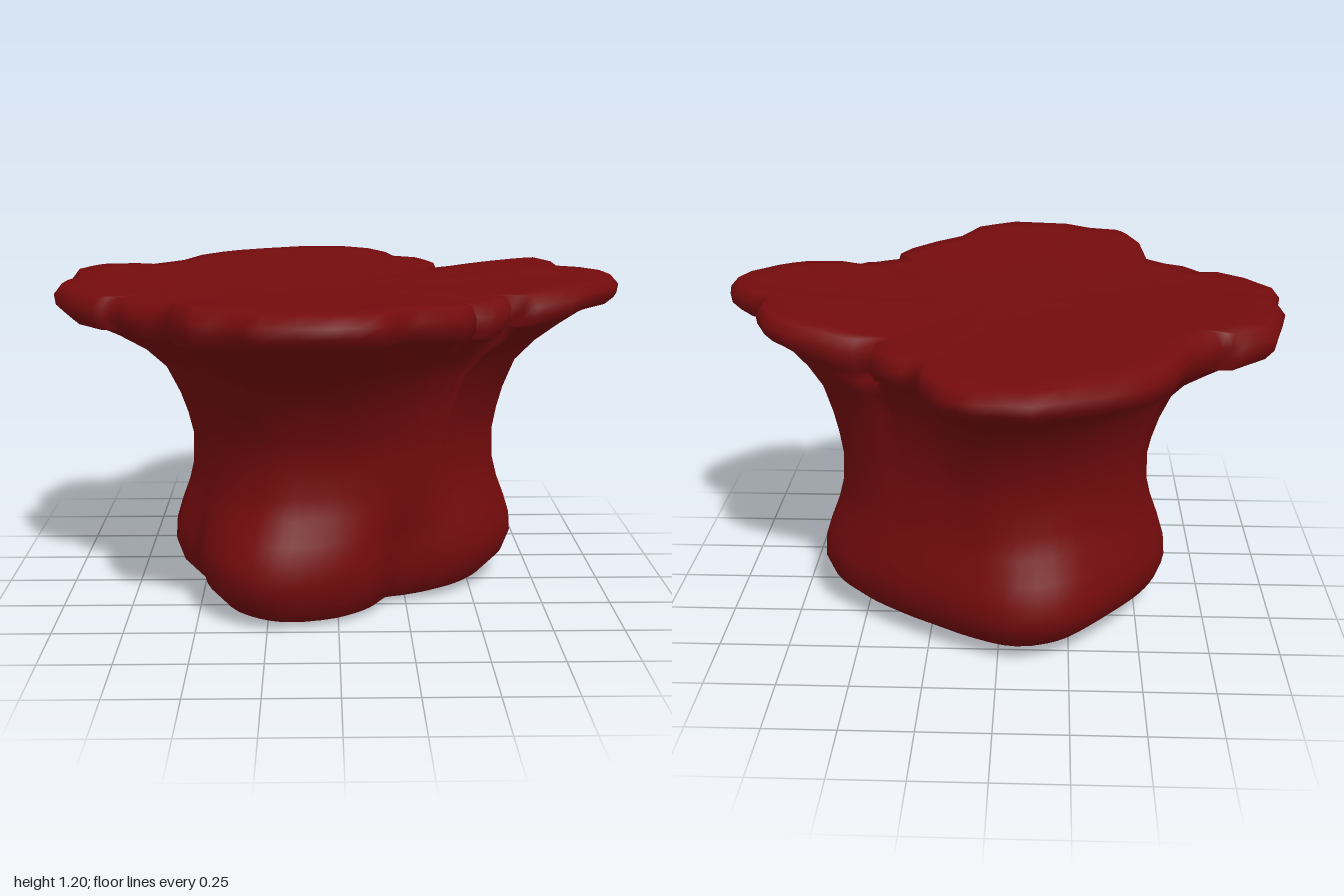
import * as THREE from 'three';

// Plan outlines as x,z pairs, running from the back round by the left side to the front.
const RIM = [
  -0.12, -0.99, 0.05, -0.98, 0.15, -0.93, 0.22, -0.82, 0.25, -0.7, 0.34, -0.67, 0.41, -0.56, 0.41, -0.47,
  0.54, -0.47, 0.7, -0.42, 0.79, -0.36, 0.84, -0.24, 0.84, -0.12, 0.92, -0.08, 0.98, 0, 1, 0.1,
  0.97, 0.19, 0.88, 0.29, 0.79, 0.38, 0.66, 0.43, 0.58, 0.4, 0.56, 0.45, 0.49, 0.51, 0.41, 0.52,
  0.44, 0.58, 0.4, 0.64, 0.3, 0.72, 0.2, 0.78, 0.13, 0.92, -0.02, 0.98, -0.24, 0.95, -0.34, 0.88,
  -0.45, 0.85, -0.49, 0.8, -0.54, 0.7, -0.56, 0.53, -0.7, 0.45, -0.76, 0.36, -0.83, 0.36, -0.92, 0.28,
  -1, 0.12, -0.99, 0.06, -0.95, -0.02, -0.98, -0.14, -0.92, -0.35, -0.8, -0.42, -0.73, -0.41, -0.62, -0.53,
  -0.56, -0.69, -0.48, -0.79, -0.41, -0.85, -0.3, -0.91,
];
const FOOT = [
  -0.08, -0.65, 0.1, -0.59, 0.26, -0.5, 0.42, -0.4, 0.6, -0.25, 0.67, -0.1, 0.61, 0.07, 0.48, 0.2,
  0.33, 0.26, 0.22, 0.29, 0.12, 0.42, -0.05, 0.52, -0.24, 0.55, -0.4, 0.47, -0.48, 0.34, -0.51, 0.2,
  -0.59, 0.08, -0.61, -0.1, -0.55, -0.26, -0.4, -0.46, -0.24, -0.61,
];
const WAIST = [
  0, -0.55, 0.15, -0.49, 0.3, -0.42, 0.46, -0.32, 0.56, -0.18, 0.58, -0.03, 0.49, 0.12, 0.4, 0.21,
  0.29, 0.3, 0.15, 0.38, 0, 0.43, -0.2, 0.445, -0.33, 0.37, -0.42, 0.26, -0.5, 0.12, -0.53, -0.03,
  -0.5, -0.2, -0.4, -0.36, -0.2, -0.51,
];
// Lip heights round the rim: degrees from the left side towards the front, underside, top
const LIP = [
  [-185, 1.07, 1.175], [-170, 1.08, 1.185], [-150, 1.03, 1.165], [-120, 1.05, 1.165], [-90, 1.07, 1.165],
  [-60, 1.05, 1.155], [-48, 1.02, 1.14], [-25, 1.1, 1.195], [0, 1.1, 1.195], [20, 1.1, 1.19], [45, 1.03, 1.15],
  [60, 1.06, 1.17], [90, 1.1, 1.2], [120, 1.07, 1.2], [140, 1.03, 1.155], [165, 1.05, 1.16], [185, 1.08, 1.18],
];

const { lerp } = THREE.MathUtils;
const toPoints = (a) => Array.from({ length: a.length / 2 }, (_, i) => new THREE.Vector2(a[2 * i], a[2 * i + 1]));

// Rounded closed outline through the given points
function rounded(a) {
  const curve = new THREE.CatmullRomCurve3(toPoints(a).map((p) => new THREE.Vector3(p.x, 0, p.y)), true);
  return curve.getPoints(120).slice(0, -1).map((v) => new THREE.Vector2(v.x, v.z));
}

// Distance from the axis to a closed outline in direction t
function reach(outline, t) {
  const d = new THREE.Vector2(Math.cos(t), Math.sin(t));
  for (let i = 0; i < outline.length; i++) {
    const p = outline[i], q = outline[(i + 1) % outline.length];
    const a = d.cross(p), b = d.cross(q);
    if (a <= 0 && b > 0) {
      const r = p.clone().lerp(q, a / (a - b)).dot(d);
      if (r > 0) return r;
    }
  }
  return 0.6;
}

// Underside and top height of the lip in direction t
function lipHeights(t) {
  const deg = THREE.MathUtils.radToDeg(t);
  const k = LIP.findIndex((row) => row[0] > deg);
  const [a, b] = [LIP[k - 1], LIP[k]];
  const f = (deg - a[0]) / (b[0] - a[0]);
  return { under: lerp(a[1], b[1], f), top: lerp(a[2], b[2], f) };
}

// Skin a list of rings, bottom to top; each ring is a list of [x, y, z]
function loft(rings) {
  const n = rings[0].length, index = [];
  for (let j = 0; j < rings.length - 1; j++) {
    for (let i = 0; i < n; i++) {
      const k = (i + 1) % n, a = j * n + i, b = j * n + k, c = a + n, d = b + n;
      index.push(a, c, b, b, c, d);
    }
  }
  const g = new THREE.BufferGeometry();
  g.setAttribute('position', new THREE.Float32BufferAttribute(rings.flat(2), 3));
  g.setIndex(index);
  g.computeVertexNormals();
  return g;
}

export function createModel() {
  const group = new THREE.Group();
  const darkRed = new THREE.MeshStandardMaterial({ color: 0x740b0d });
  darkRed.name = 'dark red';

  const rim = toPoints(RIM), foot = rounded(FOOT), waist = rounded(WAIST);

  // One column for each rim corner and each edge midpoint
  const columns = rim.flatMap((p, i) => [p, p.clone().lerp(rim[(i + 1) % rim.length], 0.5)]).map((p) => {
    const t = Math.atan2(p.y, p.x);
    return { t, rim: p.length(), foot: reach(foot, t), waist: reach(waist, t), ...lipHeights(t) };
  });
  // Softened rim that guides the flare below the lip, kept inside the notches
  columns.forEach((c, i) => {
    let sum = 0;
    for (let k = -4; k <= 4; k++) sum += columns.at((i + k) % columns.length).rim;
    c.flare = Math.min(sum / 9, c.rim + 0.03);
  });

  const place = (c, r, y) => [r * Math.cos(c.t), y, r * Math.sin(c.t)];

  // Foot ring: height, scale; the underside tilts up slightly to the sides and back
  const footRing = ([y, s]) => columns.map((c) => {
    const [x, , z] = place(c, c.foot * s, 0);
    return [x, y + Math.max(0, 1 - y / 0.2) * (0.03 * (0.35 - z) + 0.03 * Math.abs(x)), z];
  });
  // Trunk ring: height, blend from foot to waist, blend out to the flare (fuller at the front), share of lip wave
  const trunkRing = ([y, m, blend, wave]) => columns.map((c) => {
    const out = Math.pow(blend, 1 - 0.15 * Math.max(0, Math.sin(c.t)));
    return place(c, lerp(lerp(c.foot, c.waist, m), c.flare, out), y + wave * (c.under - 1.06));
  });
  // Lip ring: scale, position between underside (0) and top (1)
  const lipRing = ([s, h]) => columns.map((c) => place(c, c.rim * s, lerp(c.under, c.top, h)));
  // Top ring: scale, share of the lip height against the level middle
  const topRing = ([s, h]) => columns.map((c) => place(c, c.rim * s, lerp(1.145, c.top, h)));

  // Lobed trunk with a rounded foot, smooth waist and flaring top
  const trunk = new THREE.Mesh(loft([
    ...[[0, 0], [0, 0.4], [0.005, 0.75], [0.03, 0.86], [0.1, 0.96], [0.18, 1]].map(footRing),
    ...[
      [0.25, 0.06, 0, 0], [0.32, 0.32, 0, 0], [0.4, 0.68, 0, 0], [0.48, 0.92, 0, 0], [0.6, 1, 0.01, 0],
      [0.68, 1, 0.05, 0], [0.76, 1, 0.11, 0], [0.87, 1, 0.23, 0.1], [0.95, 1, 0.42, 0.2], [1.01, 1, 0.64, 0.5],
    ].map(trunkRing),
    ...[[0.91, -0.04], [0.965, 0.02]].map(lipRing),
  ]), darkRed);
  trunk.name = 'flaredTrunk';

  // Thick ragged lip and almost flat top
  const top = new THREE.Mesh(loft([
    ...[[0.965, 0.02], [0.995, 0.3], [1, 0.65]].map(lipRing),
    ...[[0.97, 1], [0.88, 0.95], [0.7, 0.55], [0.45, 0.15], [0.2, 0], [0, 0]].map(topRing),
  ]), darkRed);
  top.name = 'raggedTop';

  group.add(trunk, top);
  return group;
}
